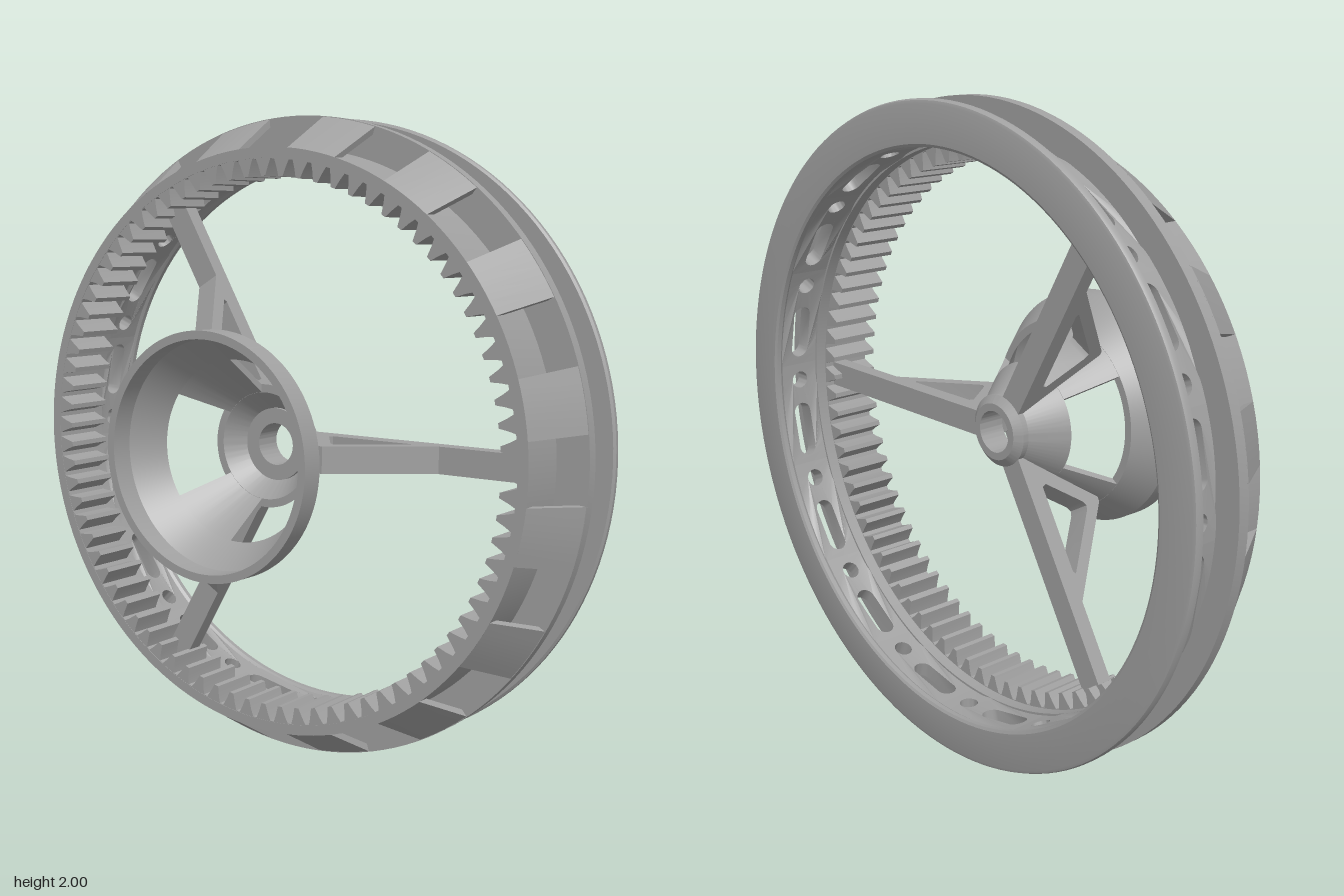
import * as THREE from 'three';
import { toCreasedNormals } from 'three/addons/utils/BufferGeometryUtils.js';

const TAU = Math.PI * 2;
const DEG = Math.PI / 180;
const metal = new THREE.MeshStandardMaterial({ color: 0xa0a0a0 });
metal.name = 'grey metal';

const shapeOf = pts => new THREE.Shape(pts.map(p => new THREE.Vector2(p[0], p[1])));
const pathOf = pts => new THREE.Path(pts.map(p => new THREE.Vector2(p[0], p[1])));

// Moves every vertex by a rule, then smooths all but the sharp edges
function remap(geo, rule) {
  const p = geo.attributes.position;
  for (let i = 0; i < p.count; i++) p.setXYZ(i, ...rule(p.getX(i), p.getY(i), p.getZ(i)));
  return toCreasedNormals(geo, 0.55);
}

// Position on the wheel, whose axle runs along x
const polar = (x, r, a) => [x, -r * Math.sin(a), r * Math.cos(a)];

// Sweeps an (x, radius) profile around the axle
function sweep(profile, a0 = 0, a1 = TAU) {
  const steps = Math.max(4, Math.round((a1 - a0) / TAU * 144));
  const geo = new THREE.ExtrudeGeometry(shapeOf(profile), { depth: a1 - a0, steps, bevelEnabled: false });
  return remap(geo, (x, r, a) => polar(x, r, a + a0));
}

export function createModel() {
  const model = new THREE.Group();
  model.name = 'spokedWheel';
  const wheel = new THREE.Group();
  wheel.name = 'wheel';
  wheel.position.y = 1;
  model.add(wheel);
  const add = (geo, name, angle = 0) => {
    const mesh = new THREE.Mesh(geo, metal);
    mesh.name = name;
    mesh.rotation.x = angle;
    wheel.add(mesh);
  };

  // Rim body and the two flanges either side of the groove
  add(sweep([[-0.035, 0.868], [-0.035, 0.9], [0.132, 0.9], [0.132, 1], [0.168, 1],
    [0.168, 0.868]]), 'rimBody');
  add(sweep([[0.3, 0.875], [0.3, 0.993], [0.305, 1], [0.318, 1], [0.327, 0.996], [0.33, 0.987],
    [0.33, 0.876], [0.325, 0.868], [0.31, 0.868]]), 'outerFlange');

  // Hollow sloping roof of the rim, open at sixteen windows
  const roof = [[-0.035, 0.9], [0.135, 1], [0.135, 0.976], [0.0, 0.898]];
  const roofPiece = sweep(roof, 5.8 * DEG, 16.7 * DEG);
  for (let i = 0; i < 16; i++) add(roofPiece, 'roofPiece', i * TAU / 16);

  // Groove floor: round holes alternating with slots, bent around the axle
  const u0 = -3.7 * DEG, u1 = 18.8 * DEG, edge = [];
  for (let i = 0; i <= 10; i++) edge.push([u0 + (u1 - u0) * i / 10, 0.16]);
  for (let i = 10; i >= 0; i--) edge.push([u0 + (u1 - u0) * i / 10, 0.305]);
  const bandShape = shapeOf(edge);
  const opening = (centre, half, rad) => {
    const pts = [];
    for (let i = 0; i < 24; i++) {
      const t = (i + 0.5) / 24 * TAU, c = Math.cos(t);
      pts.push([centre + Math.sign(c) * half + c * rad / 0.9, 0.232 + Math.sin(t) * rad]);
    }
    return pathOf(pts);
  };
  bandShape.holes.push(opening(0, 0, 0.029), opening(11.25 * DEG, 0.068, 0.031));
  const band = remap(new THREE.ExtrudeGeometry(bandShape, { depth: 0.05, bevelEnabled: false }),
    (a, x, r) => polar(x, r + 0.875, a));
  for (let i = 0; i < 16; i++) add(band, 'grooveBand', i * TAU / 16);

  // Internal gear
  const TEETH = 80, outer = [], toothed = [];
  for (let i = 0; i < 160; i++) {
    const a = i / 160 * TAU;
    outer.push([0.88 * Math.cos(a), 0.88 * Math.sin(a)]);
  }
  const tooth = [[-0.40, 0.866], [-0.27, 0.845], [-0.12, 0.815], [0.12, 0.815], [0.27, 0.845], [0.40, 0.866]];
  for (let i = 0; i < TEETH; i++) {
    for (const [f, r] of tooth) {
      const a = (i + f) / TEETH * TAU;
      toothed.push([r * Math.cos(a), r * Math.sin(a)]);
    }
  }
  const gearShape = shapeOf(outer);
  gearShape.holes.push(pathOf(toothed));
  const gear = new THREE.ExtrudeGeometry(gearShape, { depth: 0.165, bevelEnabled: false });
  add(remap(gear, (x, y, z) => [z - 0.034, y, -x]), 'gearTeeth');

  // Hub with a through hole
  add(sweep([[0.03, 0.065], [0.03, 0.112], [0.1, 0.112], [0.12, 0.088], [0.12, 0.065]]), 'hub');

  // Flared cone: rim, three webs between windows, and inner collar
  add(sweep([[-0.33, 0.345], [-0.33, 0.37], [-0.26, 0.37], [-0.165, 0.3], [-0.165, 0.275],
    [-0.26, 0.345]]), 'coneRim');
  const web = sweep([[-0.166, 0.276], [-0.166, 0.3], [-0.021, 0.19], [-0.021, 0.165]], -25 * DEG, 25 * DEG);
  for (let i = 0; i < 3; i++) add(web, 'coneWeb', i * TAU / 3);
  add(sweep([[-0.022, 0.165], [-0.022, 0.19], [0.08, 0.112], [0.08, 0.08]]), 'coneCollar');

  // Three spokes, each with a braced, pierced gusset down to the cone
  const spokeShape = shapeOf([[0.275, -0.15], [0.3, -0.15], [0.57, 0.05], [0.87, 0.05], [0.87, 0.1],
    [0.09, 0.1], [0.09, 0.08], [0.17, -0.015]]);
  spokeShape.holes.push(pathOf([[0.2, 0.03], [0.205, 0.045], [0.475, 0.045], [0.485, 0.037],
    [0.315, -0.09], [0.3, -0.095], [0.285, -0.085]]));
  const spoke = remap(new THREE.ExtrudeGeometry(spokeShape, { depth: 0.08, bevelEnabled: false }),
    (r, x, t) => [x, t - 0.04, r]);
  for (let i = 0; i < 3; i++) add(spoke, 'spoke', i * TAU / 3);

  return model;
}
